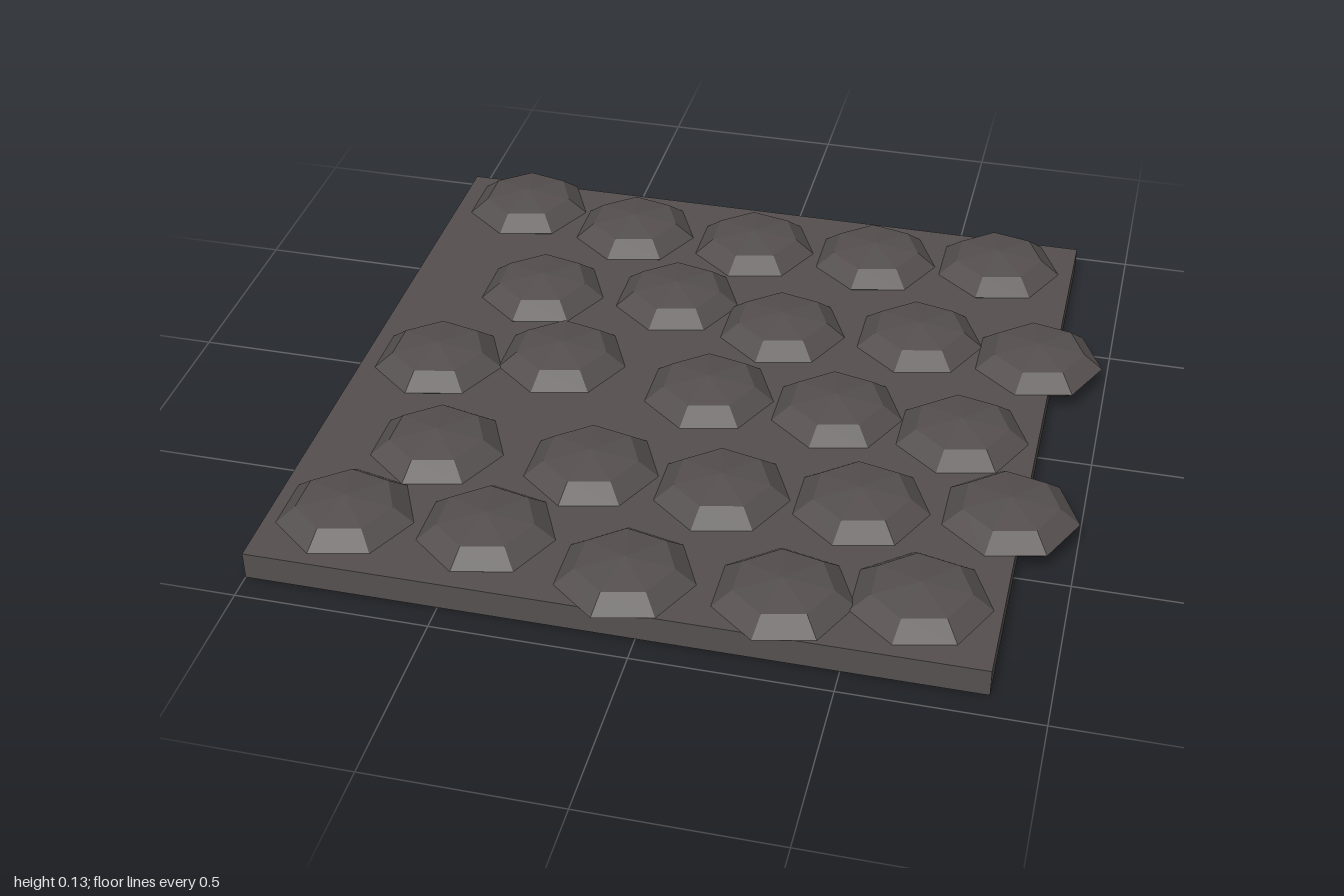
import * as THREE from 'three';

export function createModel() {
  const model = new THREE.Group();
  const slabMaterial = new THREE.MeshStandardMaterial({ color: 0x55504f });
  const stoneMaterial = new THREE.MeshStandardMaterial({ color: 0x55504f, flatShading: true });
  slabMaterial.name = 'slab grey';
  stoneMaterial.name = 'stone grey';

  // Flat base, offset to the model's right
  const slab = new THREE.Mesh(new THREE.BoxGeometry(1.857, 0.075, 1.86), slabMaterial);
  slab.name = 'baseSlab';
  slab.position.set(-0.0715, 0.0375, 0);
  model.add(slab);

  // Squashed seven-sided cobbles, five loose rows of [x, z] centres
  const rows = [
    [[-0.79, -0.8], [-0.44, -0.735], [-0.075, -0.73], [0.285, -0.74], [0.64, -0.78]],
    [[-0.615, -0.365], [-0.23, -0.41], [0.095, -0.325], [0.475, -0.365], [0.81, -0.335]],
    [[-0.795, 0.03], [-0.465, -0.05], [-0.035, 0.015], [0.315, 0.02], [0.655, 0.05]],
    [[-0.67, 0.405], [-0.255, 0.4], [0.095, 0.42], [0.45, 0.395], [0.822, 0.35]],
    [[-0.805, 0.72], [-0.44, 0.705], [-0.06, 0.79], [0.33, 0.78], [0.655, 0.72]],
  ];
  const stoneGeometry = new THREE.SphereGeometry(1, 7, 4, Math.PI);
  stoneGeometry.scale(0.178, 0.058, 0.178);

  const stones = new THREE.Group();
  stones.name = 'cobblestones';
  rows.forEach((row, r) => row.forEach(([x, z], c) => {
    const stone = new THREE.Mesh(stoneGeometry, stoneMaterial);
    stone.name = `cobblestoneRow${r + 1}Column${c + 1}`;
    stone.position.set(x, 0.076, z);
    stones.add(stone);
  }));
  model.add(stones);
  return model;
}
